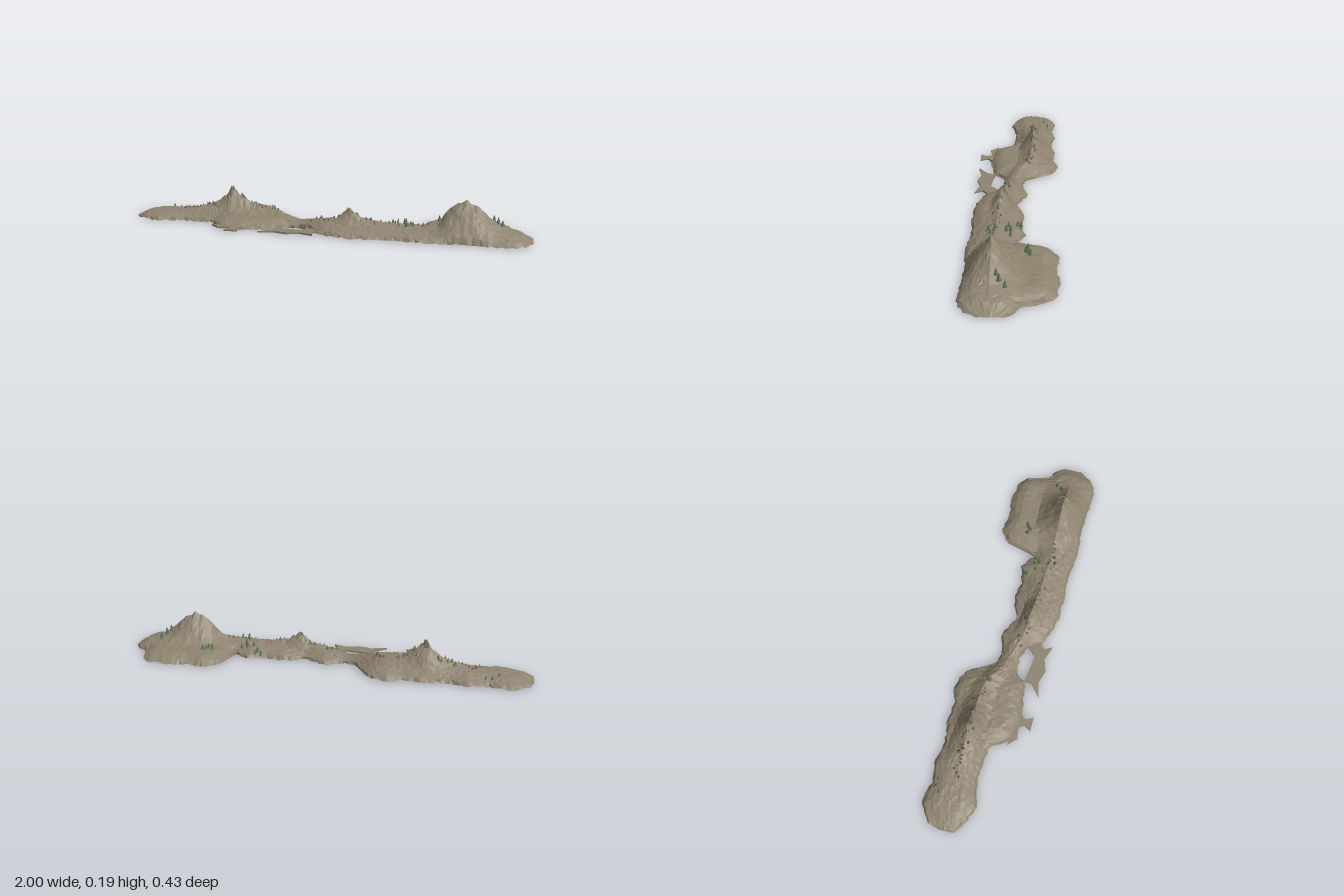
import * as THREE from 'three';

// Profiles along the range as [x, value] pairs
const BACK = [[-1, -0.09], [-0.985, -0.15], [-0.95, -0.18], [-0.9, -0.21], [-0.8, -0.185], [-0.7, -0.205], [-0.6, -0.18],
  [-0.5, -0.2], [-0.4, -0.19], [-0.32, -0.215], [-0.23, -0.18], [-0.19, -0.1], [-0.16, -0.05], [-0.1, -0.03], [0, -0.06],
  [0.1, -0.01], [0.2, -0.05], [0.3, -0.03], [0.38, -0.06], [0.46, -0.01], [0.48, -0.12], [0.5, -0.17], [0.57, -0.21],
  [0.65, -0.19], [0.75, -0.205], [0.86, -0.19], [0.9, -0.15], [0.92, -0.05], [0.97, -0.02], [1, 0.02]];
const FRONT = [[-1, -0.03], [-0.95, 0.01], [-0.86, 0.05], [-0.75, 0.02], [-0.65, 0.02], [-0.57, 0.03], [-0.54, 0.09],
  [-0.5, 0.135], [-0.4, 0.145], [-0.3, 0.13], [-0.22, 0.12], [-0.18, 0.06], [-0.1, 0.06], [-0.03, 0.09], [0, 0.15],
  [0.1, 0.19], [0.2, 0.2], [0.35, 0.195], [0.5, 0.205], [0.7, 0.2], [0.9, 0.212], [0.96, 0.185], [1, 0.12]];
const RIDGE_Z = [[-1, -0.06], [-0.7, -0.08], [-0.45, -0.08], [-0.3, -0.07], [-0.18, -0.01], [-0.1, 0.02], [0, 0.05],
  [0.2, 0.07], [0.4, 0.08], [0.7, 0.08], [0.9, 0.08], [1, 0.07]];
const RIDGE_Y = [[-1, 0.01], [-0.95, 0.035], [-0.8, 0.045], [-0.7, 0.055], [-0.6, 0.08], [-0.55, 0.105], [-0.5, 0.17],
  [-0.45, 0.13], [-0.4, 0.1], [-0.3, 0.085], [-0.2, 0.06], [-0.12, 0.04], [0, 0.06], [0.08, 0.07], [0.14, 0.12],
  [0.2, 0.08], [0.3, 0.06], [0.5, 0.06], [0.57, 0.08], [0.61, 0.14], [0.65, 0.17], [0.7, 0.183], [0.75, 0.165],
  [0.8, 0.11], [0.86, 0.065], [0.95, 0.04], [1, 0.01]];
const SPREAD = [[-1, 0.06], [-0.6, 0.08], [-0.5, 0.07], [-0.2, 0.06], [0.1, 0.05], [0.5, 0.06], [0.62, 0.12], [0.8, 0.13], [1, 0.06]];

function at(profile, x) {
  let i = 1;
  while (i < profile.length - 1 && x > profile[i][0]) i++;
  const [x0, v0] = profile[i - 1], [x1, v1] = profile[i];
  return THREE.MathUtils.lerp(v0, v1, THREE.MathUtils.clamp((x - x0) / (x1 - x0), 0, 1));
}

// Repeatable noise in -1..1
function noise(a, b) {
  const s = Math.sin(a * 127.1 + b * 311.7) * 43758.5453;
  return (s - Math.floor(s)) * 2 - 1;
}

const OUTLINE = [...BACK, ...[...FRONT].reverse()];

function edgeDistance(x, z) {
  let best = 1;
  OUTLINE.forEach(([ax, az], i) => {
    const [bx, bz] = OUTLINE[(i + 1) % OUTLINE.length];
    const dx = bx - ax, dz = bz - az;
    const t = THREE.MathUtils.clamp(((x - ax) * dx + (z - az) * dz) / (dx * dx + dz * dz), 0, 1);
    best = Math.min(best, Math.hypot(x - ax - t * dx, z - az - t * dz));
  });
  return best;
}

// Low rounded shelf plus the ridge rising from it
function height(x, z) {
  const d = edgeDistance(x, z);
  const top = at(RIDGE_Y, x);
  const shelf = 0.008 + Math.min(0.036, Math.max(0, top - 0.008)) * THREE.MathUtils.smoothstep(d, -0.03, 0.075);
  const offset = z - at(RIDGE_Z, x);
  const bump = Math.max(0, 1 - Math.abs(offset) / at(SPREAD, x));
  return shelf + Math.max(0, top - shelf) * Math.pow(bump, 1.15);
}

// Open terrain shell: rows run from the back edge over the ridge to the front edge
function terrainGeometry() {
  const cols = 110, half = 9, rows = half * 2;
  const pos = [], index = [];
  for (let i = 0; i <= cols; i++) {
    const x0 = -1 + (2 * i) / cols;
    const back = at(BACK, x0), front = at(FRONT, x0), ridge = at(RIDGE_Z, x0);
    for (let j = 0; j <= rows; j++) {
      const edge = j === 0 || j === rows;
      let x = x0, z = j < half ? THREE.MathUtils.lerp(back, ridge, j / half) : THREE.MathUtils.lerp(ridge, front, (j - half) / half);
      if (i > 0 && i < cols && !edge) {
        x += noise(i, j) * 0.005;
        if (j !== half) z += noise(j, i) * 0.005;
      }
      let y = height(x, z);
      if (edge) {
        y = 0.004 + noise(i, j + 5) * 0.004;
        z += noise(i, j) * 0.006;
      } else {
        y += noise(i + 3, j + 7) * (0.002 + 0.05 * Math.max(0, y - 0.04));
      }
      pos.push(x, Math.max(0, y), THREE.MathUtils.clamp(z, -0.215, 0.215));
      if (i < cols && j < rows) {
        const a = i * (rows + 1) + j, b = a + rows + 1;
        if ((i + j) % 2) index.push(a, a + 1, b, a + 1, b + 1, b);
        else index.push(a, a + 1, b + 1, a, b + 1, b);
      }
    }
  }
  const g = new THREE.BufferGeometry();
  g.setAttribute('position', new THREE.Float32BufferAttribute(pos, 3));
  g.setIndex(index);
  g.computeVertexNormals();
  return g;
}

export function createModel() {
  const group = new THREE.Group();
  const mat = (color, side = THREE.FrontSide) => new THREE.MeshStandardMaterial({ color, flatShading: true, side });
  const earth = mat(0x8f8470, THREE.DoubleSide), rock = mat(0x74695a), leaf = mat(0x55704f), bark = mat(0x4f4032);
  const add = (parent, name, geometry, material, x = 0, y = 0, z = 0) => {
    const m = new THREE.Mesh(geometry, material);
    m.name = name;
    m.position.set(x, y, z);
    parent.add(m);
    return m;
  };

  add(group, 'terrain', terrainGeometry(), earth);

  // Thin broken ledges at the front shore
  const ledges = [
    [[-0.54, 0.11], [-0.5, 0.15], [-0.44, 0.14], [-0.43, 0.17], [-0.45, 0.2], [-0.38, 0.2], [-0.4, 0.165], [-0.37, 0.13]],
    [[-0.28, 0.2], [-0.22, 0.15], [-0.21, 0.11], [-0.16, 0.12], [-0.08, 0.13], [-0.04, 0.09], [0, 0.14], [-0.03, 0.165],
      [-0.01, 0.205], [-0.08, 0.18], [-0.14, 0.2], [-0.2, 0.18]],
  ];
  for (const points of ledges) {
    const shape = new THREE.Shape(points.map(([x, z]) => new THREE.Vector2(x, z)));
    const g = new THREE.ExtrudeGeometry(shape, { depth: 0.008, bevelEnabled: false });
    g.rotateX(Math.PI / 2);
    add(group, 'shoreLedge', g, earth, 0, 0.016, 0);
  }

  // Jagged crags along both ridge lines
  const crags = new THREE.Group();
  crags.name = 'ridgeCrags';
  group.add(crags);
  const crag = new THREE.ConeGeometry(1, 1, 5, 1);
  for (const [from, to, count] of [[-0.75, -0.25, 32], [-0.05, 0.52, 26]]) {
    for (let i = 0; i < count; i++) {
      const x = THREE.MathUtils.lerp(from, to, i / (count - 1));
      const z = at(RIDGE_Z, x) + noise(i, from) * 0.022;
      const size = 0.011 + 0.004 * noise(i, to);
      const m = add(crags, 'crag', crag, rock, x, height(x, z) + size * 0.3, z);
      m.scale.set(size, size * 1.9, size * 0.9);
      m.rotation.set(noise(i, 1) * 0.3, i * 1.7, noise(i, 2) * 0.3);
    }
  }
  // Sharp summit of the left peak
  const summit = add(crags, 'summit', crag, rock, -0.5, 0.147, -0.08);
  summit.scale.set(0.026, 0.06, 0.022);

  // Small conifers: [x, z, height]
  const trees = [[-0.84, -0.14, 0.022], [-0.81, -0.16, 0.022], [-0.78, -0.16, 0.02], [0.32, -0.035, 0.034],
    [0.35, -0.035, 0.03], [0.34, -0.02, 0.036], [0.37, 0.02, 0.03], [0.4, 0.01, 0.036], [0.43, 0.01, 0.032],
    [0.41, 0.03, 0.036], [0.41, 0.08, 0.03], [0.42, 0.11, 0.034], [0.45, 0.1, 0.03], [0.56, -0.07, 0.036],
    [0.59, -0.07, 0.034], [0.605, -0.08, 0.036], [0.58, -0.06, 0.032], [0.82, 0.055, 0.038], [0.84, 0.043, 0.042],
    [0.86, 0.018, 0.037]];
  const trunk = new THREE.CylinderGeometry(0.05, 0.06, 0.2, 5);
  const tier = new THREE.ConeGeometry(1, 1, 7);
  trees.forEach(([x, z, h], i) => {
    const tree = new THREE.Group();
    tree.name = 'conifer';
    tree.position.set(x, height(x, z) - 0.002, z);
    tree.rotation.y = i;
    tree.scale.setScalar(h);
    add(tree, 'trunk', trunk, bark, 0, 0.1, 0);
    for (const [y, r, t] of [[0.4, 0.28, 0.55], [0.72, 0.19, 0.56]]) {
      add(tree, 'foliage', tier, leaf, 0, y, 0).scale.set(r, t, r);
    }
    group.add(tree);
  });

  return group;
}
